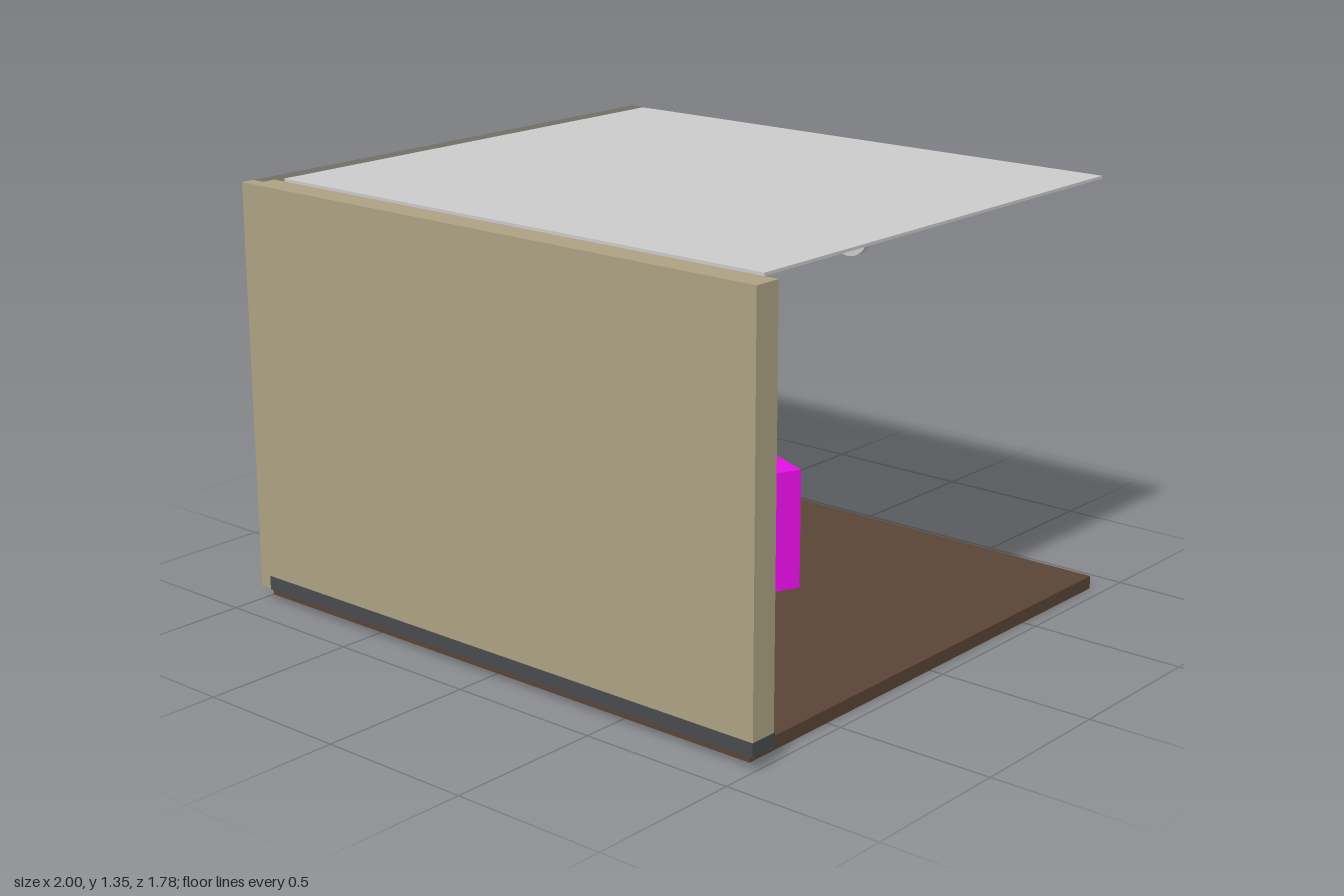
import * as THREE from 'three';

const mats = {};
const mat = (color) => (mats[color] ??= new THREE.MeshStandardMaterial({ color, roughness: 0.9 }));

const BEIGE = 0xada284, BROWN = 0x5a4536, GREY = 0xcccccc, SLATE = 0x5e6268, SKIRT = 0x484b4e;
const MAGENTA = 0xe60ee6, STONE = 0x726e66, BLACK = 0x1c1c1e;

export function createModel() {
  const root = new THREE.Group();

  const add = (name, geometry, color, parent = root) => {
    const mesh = new THREE.Mesh(geometry, mat(color));
    mesh.name = name;
    parent.add(mesh);
    return mesh;
  };
  // Box given by its extents along each axis
  const box = (name, color, [x0, x1], [y0, y1], [z0, z1], parent = root) => {
    const m = add(name, new THREE.BoxGeometry(x1 - x0, y1 - y0, z1 - z0), color, parent);
    m.position.set((x0 + x1) / 2, (y0 + y1) / 2, (z0 + z1) / 2);
    return m;
  };
  const group = (name) => {
    const g = new THREE.Group();
    g.name = name;
    root.add(g);
    return g;
  };

  // Room shell: floor, ceiling and two walls
  box('floor', BROWN, [-1, 0.953], [0, 0.042], [-0.89, 0.845]);
  box('ceiling', GREY, [-0.91, 0.953], [1.345, 1.354], [-0.845, 0.8]);
  box('frontWall', BEIGE, [-0.955, 1], [0.042, 1.345], [0.8, 0.89]);
  box('frontWallCorner', BEIGE, [-1, -0.955], [0.042, 1.345], [0.845, 0.89]);
  box('sideWall', STONE, [-1, -0.91], [0.042, 1.345], [-0.89, 0.845]);
  box('sideWallLining', BEIGE, [-0.91, -0.907], [0.042, 1.345], [-0.887, 0.8]);
  box('frontSkirting', SKIRT, [-0.955, 1.001], [0.043, 0.086], [0.796, 0.893]);
  box('sideSkirting', SKIRT, [-1.002, -0.902], [0.043, 0.086], [-0.891, 0.845]);

  // Desk with the things lying on it
  box('desk', MAGENTA, [-0.36, -0.04], [0.042, 0.375], [-0.35, 0.3]);
  const deskItems = group('deskItems');
  box('notepad', GREY, [-0.2, -0.11], [0.375, 0.38], [0.02, 0.15], deskItems);
  box('paper', GREY, [-0.2, -0.14], [0.375, 0.379], [-0.16, -0.08], deskItems);
  box('telephoneBase', BLACK, [-0.15, -0.09], [0.375, 0.393], [-0.22, -0.15], deskItems);
  box('telephoneHandset', BLACK, [-0.145, -0.12], [0.393, 0.408], [-0.225, -0.145], deskItems);

  // Seats and side unit
  const visitor = box('visitorChair', MAGENTA, [-0.093, 0.093], [0.042, 0.435], [-0.093, 0.093]);
  visitor.position.x = 0.185;
  visitor.position.z = -0.155;
  visitor.rotation.y = -0.41;
  box('deskChair', MAGENTA, [-0.62, -0.42], [0.042, 0.435], [-0.13, 0.078]);
  box('sideUnit', MAGENTA, [-0.88, -0.58], [0.042, 0.36], [0.3, 0.62]);

  // Filing cabinet, drawers facing the front
  const cabinet = group('filingCabinet');
  box('cabinetBody', SLATE, [-0.835, -0.63], [0.042, 0.615], [-0.83, -0.56], cabinet);
  for (let i = 0; i < 4; i++) {
    const y = 0.055 + i * 0.14;
    box('drawerFront', SLATE, [-0.825, -0.64], [y, y + 0.13], [-0.56, -0.556], cabinet);
    box('drawerHandle', BLACK, [-0.765, -0.7], [y + 0.085, y + 0.097], [-0.556, -0.547], cabinet);
  }

  // Bookcase against the front wall
  const bookcase = group('bookcase');
  const [bx0, bx1, by0, by1, bz0, bz1] = [-0.26, 0.36, 0.042, 0.866, 0.65, 0.799];
  const t = 0.015, rows = 4, pitch = (by1 - by0 - t) / rows;
  box('bookcaseSide', GREY, [bx0, bx0 + t], [by0, by1], [bz0, bz1], bookcase);
  box('bookcaseSide', GREY, [bx1 - t, bx1], [by0, by1], [bz0, bz1], bookcase);
  box('bookcaseBack', GREY, [bx0 + t, bx1 - t], [by0, by1], [bz1 - 0.01, bz1], bookcase);
  const covers = [0x2c3850, 0x6e2c2c, 0xb09a6a, 0x303038, 0x3c4a66, 0x5a4038];
  for (let r = 0; r <= rows; r++) {
    const y = by0 + r * pitch;
    box('shelf', GREY, [bx0 + t, bx1 - t], [y, y + t], [bz0, bz1 - 0.01], bookcase);
    if (r === rows) break;
    let x = bx0 + t + 0.004;
    for (let i = 0; x < bx1 - t - 0.03; i++) {
      const k = (i * 7 + r * 5 + i * i * 3) % 11;
      const w = 0.017 + 0.001 * k, h = 0.125 + 0.004 * ((k * 4) % 11);
      box('book', covers[(k + i) % covers.length], [x, x + w], [y + t, y + t + h],
        [bz0 + 0.012 + 0.001 * k, bz1 - 0.015], bookcase);
      x += w + 0.002;
    }
  }

  // Things hung on the side wall
  box('wallPanel', 0xbfb498, [-0.907, -0.903], [0.91, 1.088], [0.28, 0.54]);
  const picture = group('picture');
  box('pictureSheet', GREY, [-0.907, -0.898], [0.66, 0.82], [-0.425, -0.31], picture);
  for (const y of [0.65, 0.818]) box('pictureFrame', BLACK, [-0.907, -0.89], [y, y + 0.012], [-0.437, -0.302], picture);
  for (const z of [-0.437, -0.314]) box('pictureFrame', BLACK, [-0.907, -0.89], [0.65, 0.83], [z, z + 0.012], picture);

  // Round wall clock
  const clock = group('clock');
  clock.position.set(0.02, 1.043, -0.83);
  add('clockCase', new THREE.CylinderGeometry(0.077, 0.077, 0.03, 32), GREY, clock).rotation.x = Math.PI / 2;
  box('hourHand', BLACK, [-0.003, 0.003], [0, 0.035], [0.015, 0.017], clock);
  box('minuteHand', BLACK, [0, 0.055], [-0.002, 0.002], [0.015, 0.017], clock);

  // Ceiling panel with a caged lantern
  const lantern = group('lantern');
  box('ceilingPanel', 0x4a463c, [-0.25, 0.27], [1.34, 1.345], [-0.24, 0.2], lantern);
  box('lanternPlate', BLACK, [-0.035, 0.055], [1.328, 1.34], [-0.065, 0.025], lantern);
  for (const x of [-0.025, 0.041])
    for (const z of [-0.055, 0.011])
      box('cagePost', BLACK, [x, x + 0.004], [1.25, 1.328], [z, z + 0.004], lantern);
  for (const y of [1.25]) {
    for (const x of [-0.025, 0.041]) box('cageRail', BLACK, [x, x + 0.004], [y, y + 0.004], [-0.055, 0.015], lantern);
    for (const z of [-0.055, 0.011]) box('cageRail', BLACK, [-0.025, 0.045], [y, y + 0.004], [z, z + 0.004], lantern);
  }
  add('lampStem', new THREE.CylinderGeometry(0.008, 0.008, 0.022, 12), BLACK, lantern).position.set(0.01, 1.32, -0.02);
  add('lampBulb', new THREE.SphereGeometry(0.02, 20, 14), 0xe0b080, lantern).position.set(0.01, 1.295, -0.02);

  return root;
}
